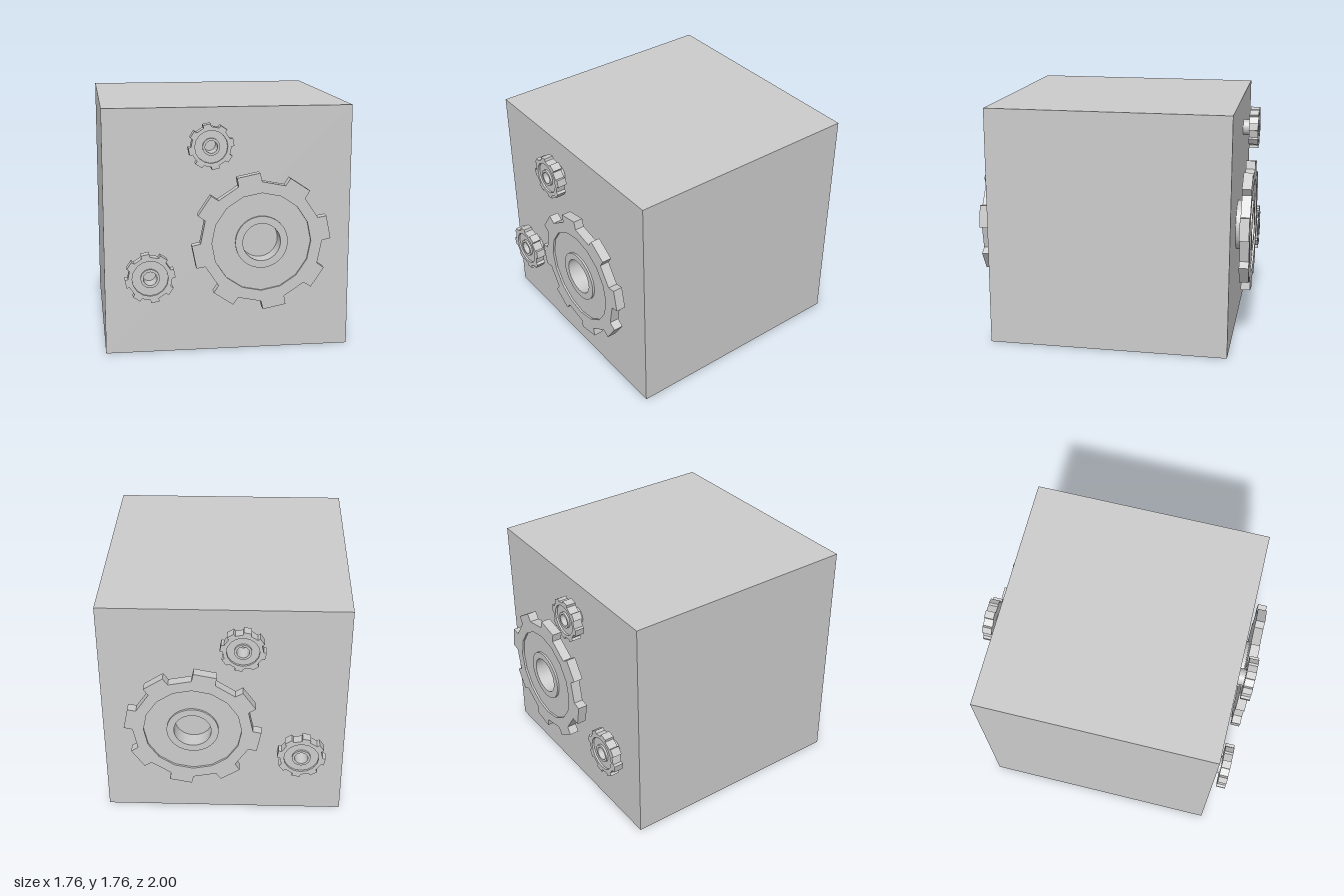
import * as THREE from 'three';

const HALF = 0.88;    // half the cube's edge
const BACK = 0.93;    // back plane of the gear teeth
const FRONT = 1.0;    // outer plane of the gears
const WEB = 0.985;    // slightly recessed disc inside the rim
const TEETH = 8, TIP = 0.493, ROOT = 0.432, INNER = 0.352, HUB = 0.186, BORE = 0.134;

const polar = (r, a) => new THREE.Vector2(r * Math.cos(a), r * Math.sin(a));
const ring = (r, n) => Array.from({ length: n }, (_, i) => polar(r, (i / n) * Math.PI * 2));

function plate(outline, hole, z0, z1) {
  const shape = new THREE.Shape(outline);
  shape.holes.push(new THREE.Path(hole));
  const geo = new THREE.ExtrudeGeometry(shape, { depth: z1 - z0, bevelEnabled: false });
  return geo.translate(0, 0, z0);
}

// Toothed outline: root corners on a 16-gon, teeth with nearly parallel sides
function toothOutline() {
  const pts = [], step = (Math.PI * 2) / TEETH, rootHalf = step / 4, tipHalf = 0.169;
  for (let i = 0; i < TEETH; i++) {
    const mid = (i + 0.25) * step;
    pts.push(polar(ROOT, mid - rootHalf), polar(TIP, mid - tipHalf),
      polar(TIP, mid + tipHalf), polar(ROOT, mid + rootHalf));
  }
  return pts;
}

export function createModel() {
  const model = new THREE.Group();
  const flat = new THREE.MeshStandardMaterial({ color: 0xcccccc, flatShading: true });
  const smooth = new THREE.MeshStandardMaterial({ color: 0xcccccc });

  const add = (parent, name, geo, mat) => {
    const mesh = new THREE.Mesh(geo, mat);
    mesh.name = name;
    parent.add(mesh);
    return mesh;
  };

  // Cube body standing on the ground
  add(model, 'body', new THREE.BoxGeometry(HALF * 2, HALF * 2, HALF * 2), flat).position.y = HALF;

  // Shared gear parts
  const rim = plate(toothOutline(), ring(INNER, 16), BACK, FRONT);
  const web = plate(ring(INNER, 16), ring(HUB - 0.01, 24), BACK, WEB);
  const circle = r => new THREE.Shape().absarc(0, 0, r, 0, Math.PI * 2);
  const hubShape = circle(HUB);
  hubShape.holes.push(circle(BORE));
  const hub = new THREE.ExtrudeGeometry(hubShape,
    { depth: FRONT - HALF, bevelEnabled: false, curveSegments: 24 }).translate(0, 0, HALF);

  const gears = [
    ['largeGear', 0.22, 0.817, 1],
    ['upperSmallGear', -0.136, 1.5, 0.324],
    ['lowerSmallGear', -0.566, 0.58, 0.36],
  ];

  // The back set is the mirror image of the front set
  for (const side of [1, -1]) {
    const set = new THREE.Group();
    set.name = side > 0 ? 'frontGears' : 'backGears';
    if (side < 0) set.rotation.y = Math.PI;
    for (const [name, x, y, s] of gears) {
      const gear = new THREE.Group();
      gear.name = name;
      add(gear, 'toothedRim', rim, flat);
      add(gear, 'recessedWeb', web, flat);
      add(gear, 'hub', hub, smooth);
      gear.position.set(x * side, y, 0);
      gear.scale.set(s, s, 1);
      // half a tooth pitch turns the outline into its mirror image
      if (side < 0) gear.rotation.z = Math.PI / TEETH;
      set.add(gear);
    }
    model.add(set);
  }
  return model;
}
